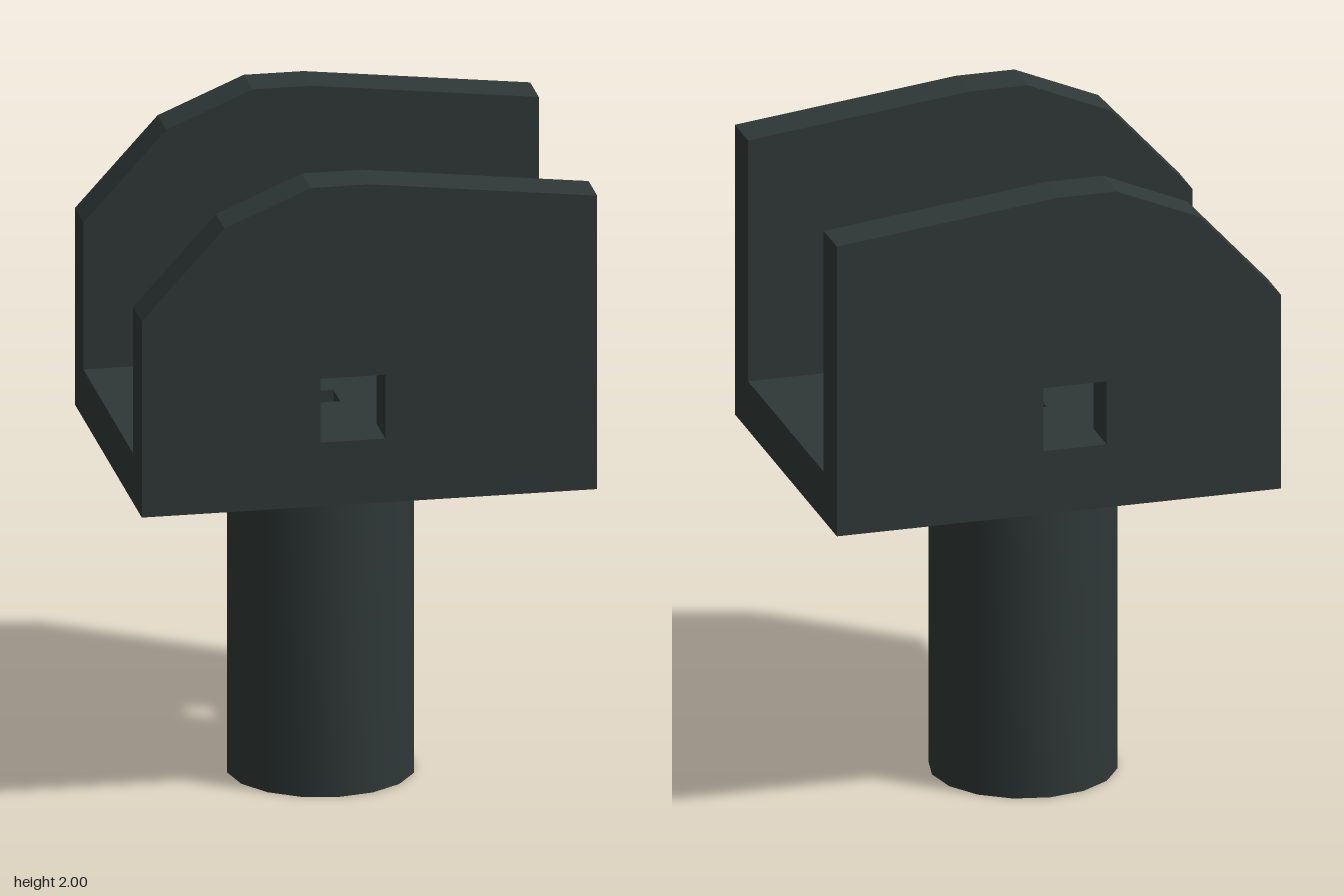
import * as THREE from 'three';
import { toCreasedNormals } from 'three/addons/utils/BufferGeometryUtils.js';

const darkMetal = new THREE.MeshStandardMaterial({ color: 0x2f3837 });
darkMetal.name = 'dark metal';

// Polygon shape with rectangular holes given as [x0, y0, x1, y1]
function plate(points, holes, depth) {
  const toPoints = (list) => list.map(([x, y]) => new THREE.Vector2(x, y));
  const shape = new THREE.Shape(toPoints(points));
  for (const [x0, y0, x1, y1] of holes) {
    shape.holes.push(new THREE.Path(toPoints([[x0, y0], [x0, y1], [x1, y1], [x1, y0]])));
  }
  return new THREE.ExtrudeGeometry(shape, { depth, bevelEnabled: false });
}

function addPart(group, name, geometry) {
  const mesh = new THREE.Mesh(geometry, darkMetal);
  mesh.name = name;
  group.add(mesh);
  return mesh;
}

export function createModel() {
  const group = new THREE.Group();
  group.name = 'forkBracket';

  // Two cheek plates with chamfered tops and a square pin hole
  const profile = [
    [-0.69, 1], [0.685, 1], [0.685, 1.92], [0, 2],
    [-0.18, 2], [-0.44, 1.89], [-0.69, 1.615],
  ];
  const cheek = plate(profile, [[-0.15, 1.2, 0.045, 1.4]], 0.136);
  addPart(group, 'frontCheek', cheek).position.z = 0.39;
  addPart(group, 'backCheek', cheek).position.z = -0.526;

  // Floor between the cheeks, with a central hole and an offset hole
  const floor = plate(
    [[-0.69, -0.39], [0.685, -0.39], [0.685, 0.39], [-0.69, 0.39]],
    [[-0.102, -0.038, 0.003, 0.067], [0.335, -0.078, 0.52, 0.107]],
    0.155,
  );
  floor.rotateX(-Math.PI / 2);
  addPart(group, 'floor', floor).position.y = 1;

  // Hollow stem below the floor
  const section = [[0.22, 1], [0.22, 0], [0.282, 0], [0.282, 1]]
    .map(([r, y]) => new THREE.Vector2(r, y));
  const stem = toCreasedNormals(new THREE.LatheGeometry(section, 16), 0.6);
  addPart(group, 'stem', stem).position.x = -0.049;

  return group;
}
